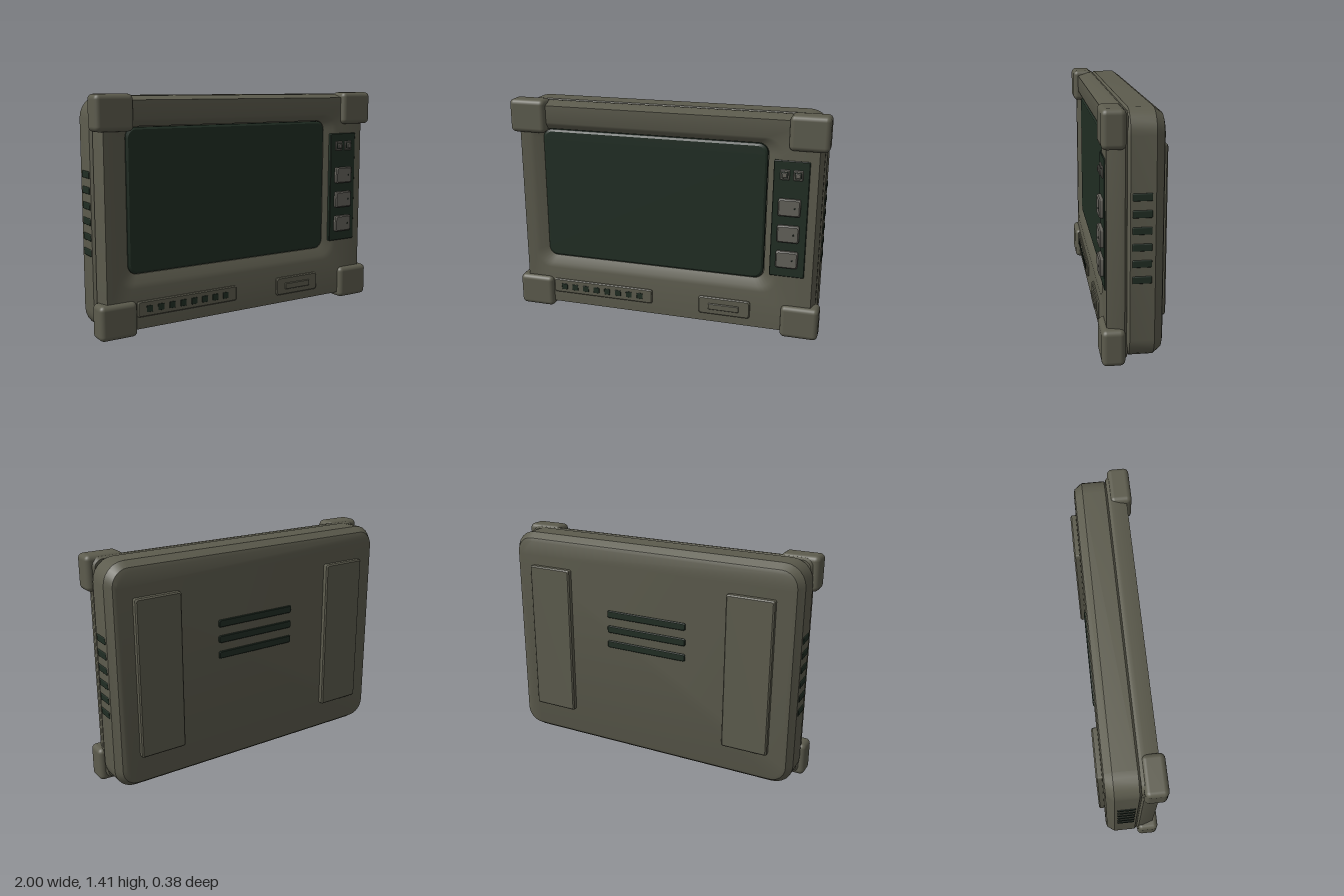
import * as THREE from 'three';
import { toCreasedNormals } from 'three/addons/utils/BufferGeometryUtils.js';
import { RoundedBoxGeometry } from 'three/addons/geometries/RoundedBoxGeometry.js';

const SEG = 6; // segments per rounded corner

// Rounded rectangle outline at depth z, counter-clockwise seen from the front
function ring(x0, x1, y0, y1, r, z) {
  const pts = [];
  const corners = [[x1 - r, y1 - r], [x0 + r, y1 - r], [x0 + r, y0 + r], [x1 - r, y0 + r]];
  corners.forEach(([cx, cy], k) => {
    for (let i = 0; i <= SEG; i++) {
      const a = (k + i / SEG) * Math.PI / 2;
      pts.push([cx + r * Math.cos(a), cy + r * Math.sin(a), z]);
    }
  });
  return pts;
}

// Skin through successive outlines, with optional flat caps
function loft(rings, capBack = true, capFront = true) {
  const p = [];
  const n = rings[0].length;
  const tri = (a, b, c) => p.push(...a, ...b, ...c);
  for (let i = 0; i < rings.length - 1; i++) {
    for (let j = 0; j < n; j++) {
      const k = (j + 1) % n;
      const [a, b, c, d] = [rings[i][j], rings[i][k], rings[i + 1][k], rings[i + 1][j]];
      tri(a, b, c);
      tri(a, c, d);
    }
  }
  const first = rings[0], last = rings[rings.length - 1];
  for (let j = 1; j < n - 1; j++) {
    if (capBack) tri(first[0], first[j + 1], first[j]);
    if (capFront) tri(last[0], last[j], last[j + 1]);
  }
  const g = new THREE.BufferGeometry();
  g.setAttribute('position', new THREE.Float32BufferAttribute(p, 3));
  return toCreasedNormals(g, 0.45);
}

export function createModel() {
  const model = new THREE.Group();
  const material = (name, color) => {
    const m = new THREE.MeshStandardMaterial({ color });
    m.name = name;
    return m;
  };
  const olive = material('olive casing', 0x5c5b4d);
  const grey = material('button grey', 0x63615a);
  const green = material('dark green', 0x202d23);

  const add = (name, geometry, mat) => {
    const mesh = new THREE.Mesh(geometry, mat);
    mesh.name = name;
    model.add(mesh);
    return mesh;
  };
  // Rounded plate with chamfer b on its front and back edges
  const plate = (name, mat, x0, x1, y0, y1, z0, z1, r, b) => add(name, loft([
    ring(x0 + b, x1 - b, y0 + b, y1 - b, r, z0),
    ring(x0, x1, y0, y1, r, z0 + b),
    ring(x0, x1, y0, y1, r, z1 - b),
    ring(x0 + b, x1 - b, y0 + b, y1 - b, r, z1),
  ]), mat);

  // Back shell
  add('backShell', loft([
    ring(-0.925, 0.925, 0.065, 1.345, 0.09, -0.152),
    ring(-0.945, 0.945, 0.045, 1.365, 0.1, -0.145),
    ring(-0.977, 0.977, 0.012, 1.397, 0.13, -0.1),
    ring(-0.977, 0.977, 0.012, 1.397, 0.13, 0.035),
    ring(-0.962, 0.962, 0.027, 1.382, 0.12, 0.05),
  ]), olive);

  // Front frame with a sloping screen recess
  add('frontFrame', loft([
    ring(-0.955, 0.955, 0.02, 1.385, 0.05, 0.045),
    ring(-0.968, 0.968, 0.01, 1.395, 0.05, 0.062),
    ring(-0.968, 0.968, 0.01, 1.395, 0.05, 0.085),
    ring(-0.945, 0.945, 0.035, 1.372, 0.04, 0.157),
    ring(-0.88, 0.735, 0.28, 1.265, 0.1, 0.157),
    ring(-0.855, 0.705, 0.31, 1.25, 0.09, 0.15),
    ring(-0.8, 0.645, 0.36, 1.222, 0.06, 0.125),
    ring(-0.8, 0.645, 0.36, 1.222, 0.06, 0.1),
  ], true, false), olive);
  add('screen', loft([
    ring(-0.798, 0.64, 0.363, 1.218, 0.055, 0.1),
    ring(-0.798, 0.64, 0.363, 1.218, 0.055, 0.128),
    ring(-0.785, 0.627, 0.376, 1.205, 0.05, 0.137),
  ], false), green);

  // Corner guards
  for (const x of [-0.8825, 0.8825]) {
    for (const y of [0.106, 1.302]) {
      add('cornerGuard', new RoundedBoxGeometry(0.235, 0.21, 0.13, 3, 0.03), olive)
        .position.set(x, y, 0.123);
    }
  }

  // Control panel with push buttons and two small switches
  plate('controlPanel', green, 0.682, 0.895, 0.405, 1.135, 0.12, 0.163, 0.008, 0.004);
  for (const y of [0.522, 0.687, 0.853]) {
    plate('button', grey, 0.72, 0.853, y - 0.053, y + 0.053, 0.155, 0.186, 0.012, 0.007);
    plate('buttonDot', green, 0.817, 0.825, y - 0.005, y + 0.005, 0.184, 0.19, 0.002, 0.001);
  }
  for (const x of [0.75, 0.829]) {
    plate('switchBase', grey, x - 0.028, x + 0.028, 1.02, 1.082, 0.155, 0.171, 0.006, 0.004);
    plate('switchGap', green, x - 0.02, x + 0.02, 1.031, 1.071, 0.168, 0.173, 0.005, 0.001);
    plate('switchCap', grey, x - 0.016, x + 0.016, 1.035, 1.067, 0.168, 0.182, 0.005, 0.004);
  }

  // Indicator strip
  plate('indicatorStrip', olive, -0.76, -0.07, 0.108, 0.203, 0.145, 0.17, 0.014, 0.006);
  for (let i = 0; i < 8; i++) {
    const x = -0.683 + i * 0.0755;
    plate('indicator', green, x - 0.02, x + 0.02, 0.134, 0.174, 0.167, 0.173, 0.004, 0.001);
  }

  // Latch on the lower frame
  plate('latchBase', olive, 0.24, 0.572, 0.09, 0.206, 0.145, 0.171, 0.016, 0.006);
  plate('latchTab', olive, 0.305, 0.503, 0.126, 0.166, 0.168, 0.18, 0.005, 0.003);

  // Side vents
  for (const x of [-0.974, 0.974]) {
    for (let i = 0; i < 6; i++) {
      add('sideVent', new RoundedBoxGeometry(0.016, 0.042, 0.106, 2, 0.006), green)
        .position.set(x, 0.492 + i * 0.091, -0.029);
    }
  }

  // Back pads and vent slots
  for (const x of [-0.685, 0.685]) {
    plate('backPad', olive, x - 0.147, x + 0.147, 0.218, 1.192, -0.187, -0.145, 0.012, 0.008);
  }
  for (const y of [0.74, 0.84, 0.94]) {
    plate('backVent', green, -0.272, 0.272, y - 0.023, y + 0.023, -0.162, -0.145, 0.01, 0.004);
  }

  return model;
}
